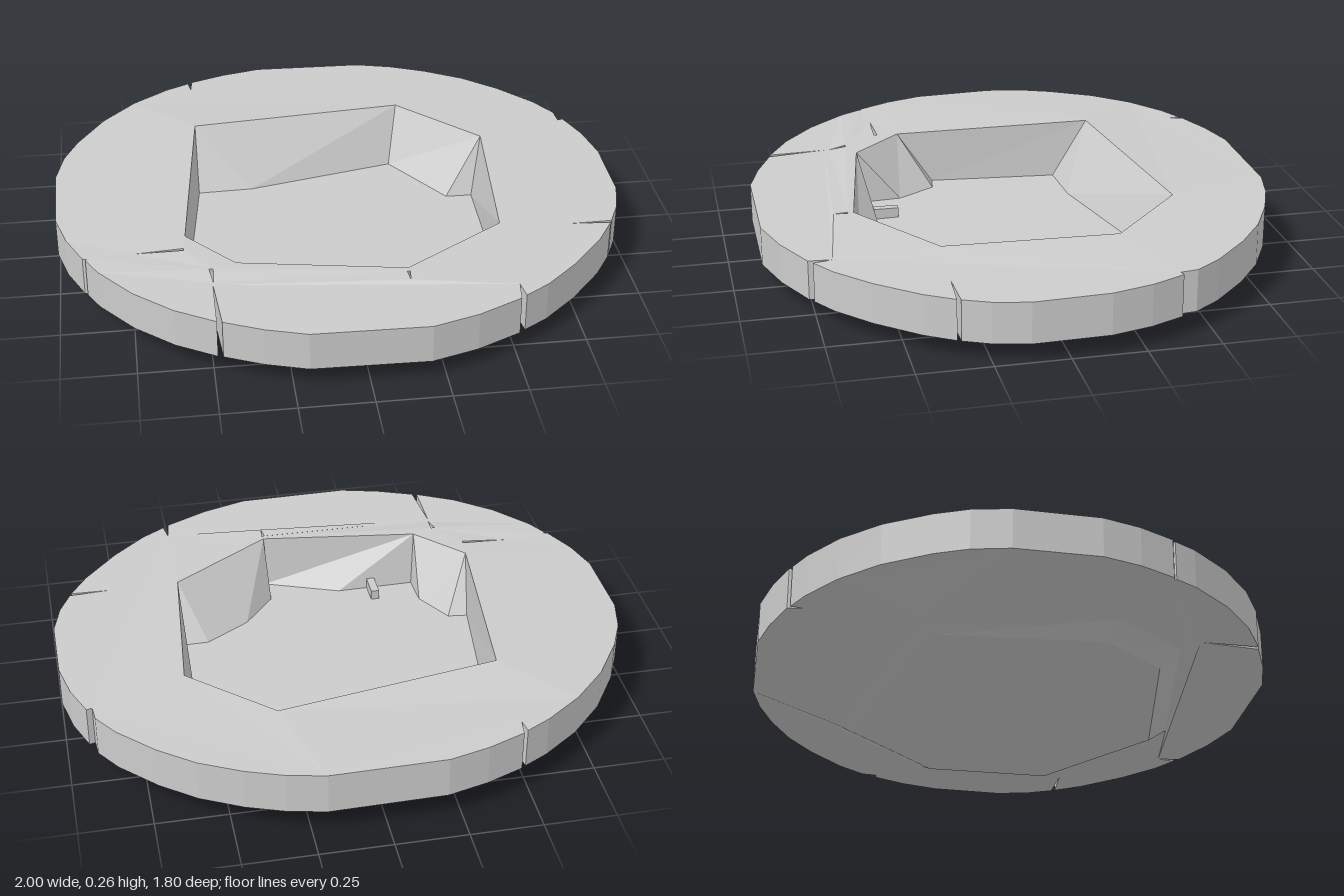
import * as THREE from 'three';

const mat = new THREE.MeshStandardMaterial({ color: 0xcccccc, flatShading: true });

// Height rules for each layer of the slightly tilted slab
const topY = (x, z) => 0.224 - 0.012 * x - 0.021 * z
  + (Math.hypot(x, z) < 0.72 ? 0.01 : 0)
  + 0.014 * Math.max(0, 1 - Math.hypot(x + 0.48, z + 0.43) / 0.4);
const rimLowY = (x, z) => 0.081 - 0.014 * x - 0.014 * z;
const skirtY = (x, z) => Math.min(0.055, 0.05 + 0.035 * z);
const bottomY = (x, z) => Math.max(0, 0.004 - 0.012 * x - 0.02 * z);
const floorY = (x, z) => 0.036 - 0.012 * x - 0.015 * z;

// Loops run clockwise seen from above, as [x, z]
const rim = [
  [-0.2, -0.905], [0.2, -0.905], [0.33, -0.875], [0.46, -0.825], [0.6, -0.75], [0.72, -0.655],
  [0.84, -0.53], [0.9, -0.44], [0.905, -0.38], [0.925, -0.385], [0.97, -0.27], [1, -0.13], [1, 0.13],
  [0.97, 0.25], [0.928, 0.34], [0.78, 0.345], [0.922, 0.352], [0.86, 0.45], [0.74, 0.59], [0.62, 0.7],
  [0.535, 0.755], [0.525, 0.69], [0.515, 0.77], [0.36, 0.845], [0.2, 0.895], [-0.2, 0.895],
  [-0.34, 0.855], [-0.47, 0.8], [-0.485, 0.59], [-0.487, 0.795], [-0.62, 0.72], [-0.75, 0.61],
  [-0.86, 0.475], [-0.9, 0.4], [-0.895, 0.395], [-0.91, 0.39], [-0.965, 0.27], [-1, 0.14], [-1, -0.15],
  [-0.97, -0.28], [-0.92, -0.39], [-0.82, -0.545], [-0.7, -0.67], [-0.57, -0.765],
  [-0.485, -0.81], [-0.477, -0.76], [-0.47, -0.82], [-0.34, -0.87],
];
const opening = [[-0.48, -0.43], [0.3, -0.54], [0.58, -0.27], [0.53, 0.33], [0.17, 0.57], [-0.4, 0.48], [-0.56, 0.3]];
// Basin floor corners; the third number is the opening corner each one rises to
const floor = [
  [-0.48, -0.3, 0], [-0.28, -0.31, 0], [0.26, -0.44, 1], [0.44, -0.18, 2], [0.535, -0.18, 2],
  [0.53, 0.2, 3], [0.44, 0.2, 3], [0.28, 0.3, 3], [0.165, 0.44, 4], [0.17, 0.55, 4],
  [-0.1, 0.44, 5], [-0.385, 0.44, 5], [-0.39, 0.32, 5], [-0.47, 0.18, 6], [-0.54, 0.17, 6],
];
const bottom = [[-0.52, -0.34], [0.28, -0.52], [0.62, -0.2], [0.62, 0.25], [0.2, 0.57], [-0.42, 0.46], [-0.58, 0.24]];
const skirt = bottom.map(([x, z]) => [x * 1.13, z * 1.13]);
const cracks = [
  [[-0.74, 0.378], [-0.57, 0.376], [-0.57, 0.388]],
  [[-0.492, 0.51], [-0.478, 0.51], [-0.482, 0.575]],
  [[0.163, 0.59], [0.173, 0.59], [0.168, 0.64]],
];

const lift = (loop, rule) => loop.map(([x, z]) => new THREE.Vector3(x, rule(x, z), z));

function toMesh(name, points) {
  const geo = new THREE.BufferGeometry().setFromPoints(points);
  geo.computeVertexNormals();
  const mesh = new THREE.Mesh(geo, mat);
  mesh.name = name;
  return mesh;
}

// Wall between two loops; swap the arguments to face inward
function wall(name, upper, lower) {
  const pts = [];
  upper.forEach((a, i) => {
    const j = (i + 1) % upper.length;
    for (const t of [[a, upper[j], lower[j]], [a, lower[j], lower[i]]])
      if (new THREE.Triangle(...t).getArea() > 1e-7) pts.push(...t);
  });
  return toMesh(name, pts);
}

// Filled loop with holes, facing up or down
function cap(name, loop, holes, rule, up) {
  const flat = l => l.map(([x, z]) => new THREE.Vector2(x, z));
  const all = lift([loop, ...holes].flat(), rule);
  const pts = [];
  for (const t of THREE.ShapeUtils.triangulateShape(flat(loop), holes.map(flat))) {
    const [a, b, c] = t.map(i => all[i]);
    const facesUp = (b.z - a.z) * (c.x - a.x) - (b.x - a.x) * (c.z - a.z) > 0;
    pts.push(...(facesUp === up ? [a, b, c] : [a, c, b]));
  }
  return toMesh(name, pts);
}

export function createModel() {
  const group = new THREE.Group();
  group.name = 'stoneBasin';

  // Slab: upper face, notched edge and underside
  group.add(cap('topFace', rim, [opening, ...cracks], topY, true));
  group.add(wall('rimEdge', lift(rim, topY), lift(rim, rimLowY)));
  group.add(cap('underside', rim, [skirt], (x, z) =>
    Math.hypot(x, z) > 0.76 || Math.abs(z) > 0.66 ? rimLowY(x, z) : skirtY(x, z), false));

  // Foot below the slab
  group.add(wall('footWall', lift(skirt, skirtY), lift(bottom, bottomY)));
  group.add(cap('footBase', bottom, [], bottomY, false));

  // Faceted basin
  const brim = lift(floor.map(f => opening[f[2]]), topY);
  group.add(wall('basinWall', lift(floor, floorY), brim));
  group.add(cap('basinFloor', floor, [], floorY, true));

  // Shallow cracks in the upper face
  const grooveY = (x, z) => topY(x, z) - 0.05;
  for (const c of cracks) {
    group.add(wall('crackWall', lift(c, grooveY), lift(c, topY)));
    group.add(cap('crackFloor', c, [], grooveY, true));
  }

  // Small chip of stone on the basin floor
  const chip = new THREE.Mesh(new THREE.BoxGeometry(0.03, 0.05, 0.09), mat);
  chip.name = 'stoneChip';
  chip.position.set(-0.225, 0.045, 0.4);
  group.add(chip);
  return group;
}
